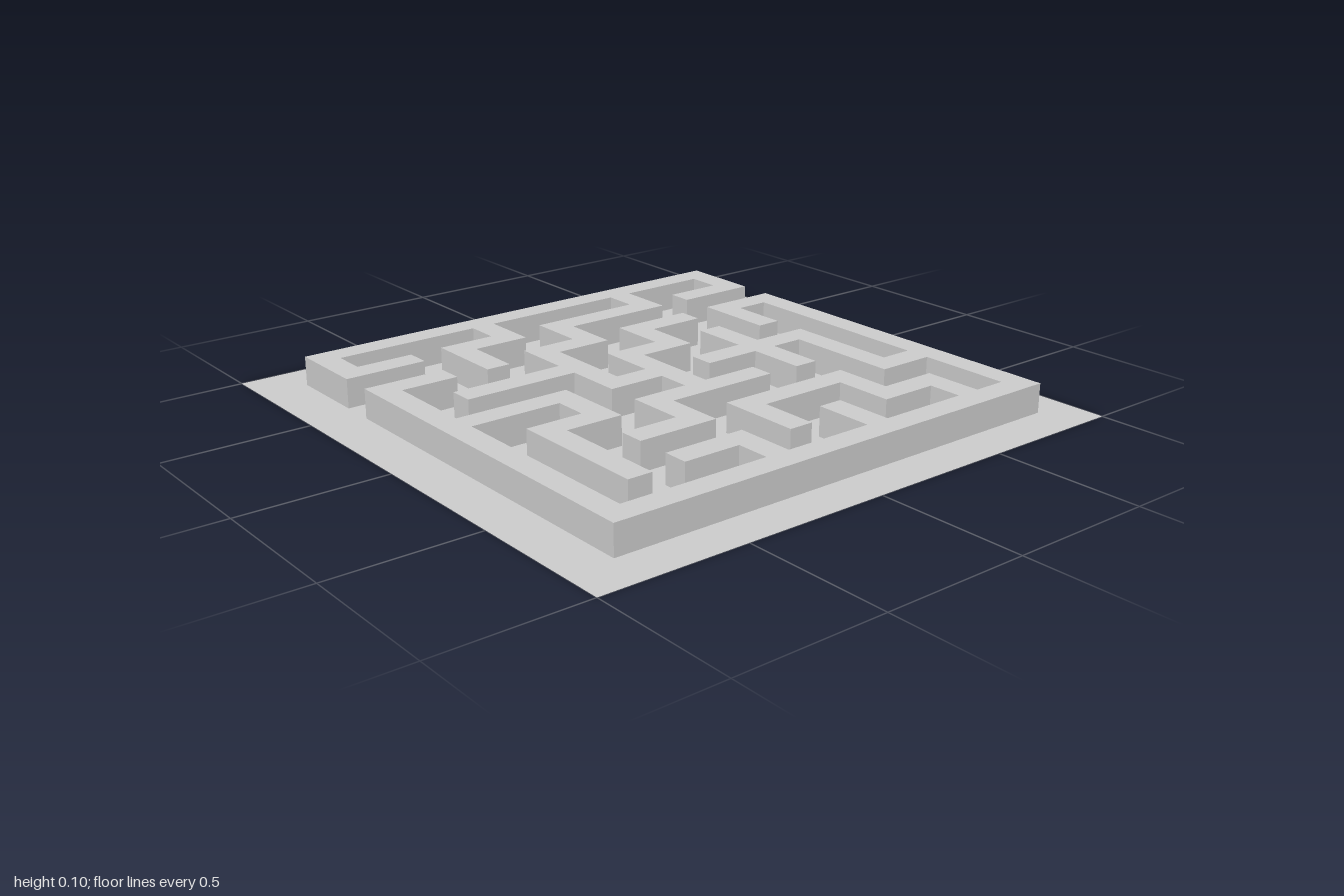
import * as THREE from 'three';

const PITCH = 0.202, HALF = 0.043, HEIGHT = 0.1, CENTRE_X = 0.016;

// Wall runs on a 9 x 9 lattice: [column, row, column, row]
const backRuns = [
  [0, 0, 8, 0], [0, 0, 0, 1], [0, 1, 1, 1], [8, 0, 8, 1], [7, 1, 8, 1],
  [3, 0, 3, 1], [2, 1, 3, 1], [2, 1, 2, 2],
  [6, 0, 6, 1], [4, 1, 6, 1], [4, 1, 4, 2], [3, 2, 4, 2], [3, 2, 3, 4],
  [1, 3, 3, 3], [3, 4, 4, 4], [4, 3, 4, 5], [4, 3, 5, 3], [5, 2, 5, 3],
  [5, 2, 6, 2], [3, 5, 5, 5], [3, 5, 3, 6], [2, 6, 3, 6],
];
const frontRuns = [
  [0, 2, 1, 2], [0, 2, 0, 8], [0, 8, 8, 8], [8, 2, 8, 8], [7, 2, 8, 2], [7, 2, 7, 3],
  [0, 4, 2, 4], [2, 4, 2, 5], [1, 5, 2, 5], [1, 5, 1, 7],
  [3, 7, 3, 8], [2, 7, 3, 7], [5, 7, 5, 8],
  [7, 7, 7, 8], [6, 7, 7, 7], [6, 6, 6, 7], [4, 6, 6, 6], [4, 6, 4, 7],
  [7, 6, 8, 6], [7, 4, 7, 6], [5, 4, 7, 4], [6, 3, 6, 5],
];

// Edge of a cell strip: even strips are wall posts, odd strips are corridors
const edge = (i) => (Math.floor(i / 2) - 4) * PITCH + (i % 2 ? HALF : -HALF);

// Builds one continuous wall: tops plus only the sides that face a corridor
function wallGeometry(runs) {
  const filled = new Set();
  for (const [c0, r0, c1, r1] of runs)
    for (let c = 2 * c0; c <= 2 * c1; c++)
      for (let r = 2 * r0; r <= 2 * r1; r++) filled.add(`${c},${r}`);
  const has = (c, r) => filled.has(`${c},${r}`);

  const pos = [];
  const quad = (a, b, c, d) => pos.push(...a, ...b, ...c, ...a, ...c, ...d);
  const h = HEIGHT;
  for (const key of filled) {
    const [c, r] = key.split(',').map(Number);
    const x0 = edge(c), x1 = edge(c + 1), z0 = edge(r), z1 = edge(r + 1);
    quad([x0, h, z1], [x1, h, z1], [x1, h, z0], [x0, h, z0]);
    if (!has(c, r + 1)) quad([x0, 0, z1], [x1, 0, z1], [x1, h, z1], [x0, h, z1]);
    if (!has(c, r - 1)) quad([x1, 0, z0], [x0, 0, z0], [x0, h, z0], [x1, h, z0]);
    if (!has(c + 1, r)) quad([x1, 0, z1], [x1, 0, z0], [x1, h, z0], [x1, h, z1]);
    if (!has(c - 1, r)) quad([x0, 0, z0], [x0, 0, z1], [x0, h, z1], [x0, h, z0]);
  }
  const geometry = new THREE.BufferGeometry();
  geometry.setAttribute('position', new THREE.Float32BufferAttribute(pos, 3));
  geometry.computeVertexNormals();
  return geometry;
}

export function createModel() {
  const group = new THREE.Group();
  group.name = 'maze';
  const material = new THREE.MeshStandardMaterial({ color: 0xcccccc, side: THREE.DoubleSide });

  // Flat ground sheet
  const floor = new THREE.Mesh(new THREE.PlaneGeometry(2, 2).rotateX(-Math.PI / 2), material);
  floor.name = 'floor';
  group.add(floor);

  // Two separate walls, with the path running between them
  for (const [name, runs] of [['backWall', backRuns], ['frontWall', frontRuns]]) {
    const wall = new THREE.Mesh(wallGeometry(runs), material);
    wall.name = name;
    wall.position.x = CENTRE_X;
    group.add(wall);
  }
  return group;
}
